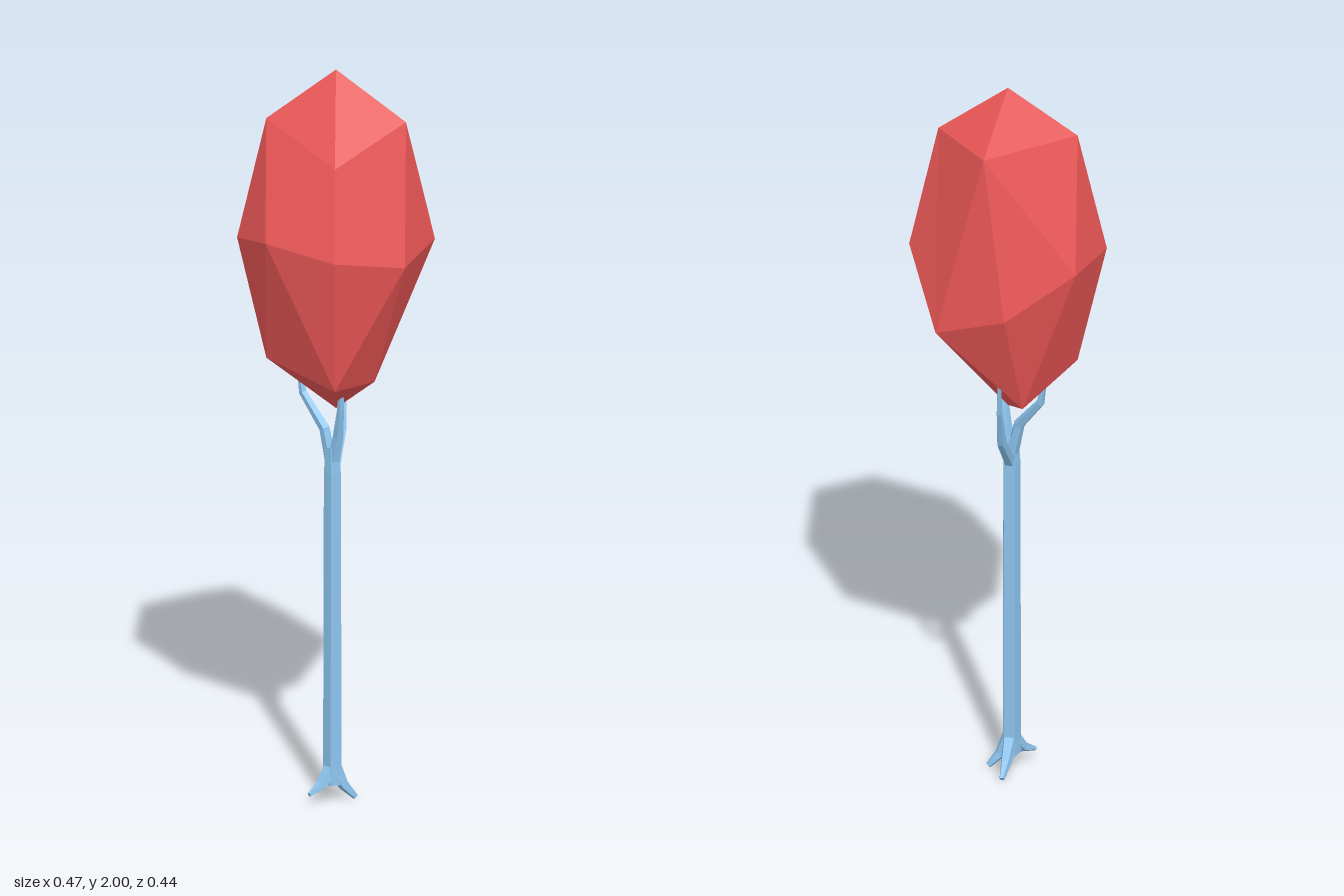
import * as THREE from 'three';

const UP = new THREE.Vector3(0, 1, 0);
const vec = (p) => new THREE.Vector3(p[0], p[1], p[2]);

function makeMesh(name, triangles, material) {
  const geometry = new THREE.BufferGeometry().setFromPoints(triangles);
  geometry.computeVertexNormals();
  const mesh = new THREE.Mesh(geometry, material);
  mesh.name = name;
  return mesh;
}

// Faceted limb: rings of [x, y, z, radius] joined from bottom to top, ends closed
function limb(name, stations, sides, turn, material) {
  const centres = stations.map(vec);
  const rings = stations.map((s, i) => {
    const a = centres[Math.max(i - 1, 0)];
    const b = centres[Math.min(i + 1, centres.length - 1)];
    const q = new THREE.Quaternion().setFromUnitVectors(UP, b.clone().sub(a).normalize());
    return Array.from({ length: sides }, (_, k) => {
      const t = turn + (k / sides) * Math.PI * 2;
      return new THREE.Vector3(Math.sin(t) * s[3], 0, Math.cos(t) * s[3])
        .applyQuaternion(q).add(centres[i]);
    });
  });
  const tris = [];
  const last = rings.length - 1;
  for (let k = 0; k < sides; k++) {
    const n = (k + 1) % sides;
    for (let i = 0; i < last; i++) {
      const [a, b, c, d] = [rings[i][k], rings[i][n], rings[i + 1][n], rings[i + 1][k]];
      tris.push(a, b, c, a, c, d);
    }
    tris.push(centres[0], rings[0][n], rings[0][k]);
    tris.push(centres[last], rings[last][k], rings[last][n]);
  }
  return makeMesh(name, tris, material);
}

// Crown: an irregular, stretched octahedron with every edge split once
function crown(material) {
  const top = vec([0, 2, 0]);
  const bottom = vec([0, 1.07, 0]);
  const upper = [[0.08, 1.775, 0.125], [0.167, 1.865, -0.077],
    [-0.032, 1.862, -0.155], [-0.153, 1.865, 0.097]].map(vec);
  const corner = [[0.112, 1.535, 0.175], [0.216, 1.537, -0.139],
    [-0.114, 1.42, -0.178], [-0.217, 1.537, 0.138]].map(vec);
  const middle = [[0.232, 1.505, 0.025], [0.072, 1.355, -0.224],
    [-0.234, 1.53, -0.027], [-0.073, 1.57, 0.221]].map(vec);
  const lower = [[0.08, 1.165, 0.125], [0.107, 1.157, -0.02],
    [-0.1, 1.12, -0.075], [-0.153, 1.207, 0.097]].map(vec);
  const tris = [];
  for (let i = 0; i < 4; i++) {
    const n = (i + 1) % 4;
    const m = middle[i];
    tris.push(top, upper[i], upper[n]);
    tris.push(upper[i], m, upper[n]);
    tris.push(upper[i], corner[i], m, upper[n], m, corner[n]);
    tris.push(lower[i], m, corner[i], lower[n], corner[n], m);
    tris.push(lower[i], lower[n], m);
    tris.push(bottom, lower[n], lower[i]);
  }
  return makeMesh('crown', tris, material);
}

export function createModel() {
  const leaf = new THREE.MeshStandardMaterial({ color: 0xe85555, flatShading: true });
  const bark = new THREE.MeshStandardMaterial({ color: 0x8cc4ee, flatShading: true });
  const tree = new THREE.Group();
  tree.name = 'tree';
  tree.add(crown(leaf));

  // Five-sided trunk
  tree.add(limb('trunk', [
    [0.002, 0.045, 0.017, 0.027],
    [0.002, 0.09, 0.017, 0.026],
    [0.002, 0.9, 0.017, 0.024],
    [0.002, 0.97, 0.018, 0.018],
  ], 5, 0.35, bark));

  // Three branches reaching into the crown
  const branches = {
    rightBranch: [[0, 0.92, 0.017, 0.018], [-0.025, 1.015, 0.015, 0.015],
      [-0.095, 1.1, 0.012, 0.011], [-0.112, 1.18, 0.008, 0.006]],
    leftBranch: [[0.004, 0.93, 0.018, 0.018], [0.022, 1.0, 0.022, 0.015],
      [0.038, 1.08, 0.035, 0.01], [0.045, 1.15, 0.043, 0.007]],
    backBranch: [[0, 0.9, 0.01, 0.017], [-0.02, 0.99, -0.058, 0.013],
      [-0.042, 1.1, -0.098, 0.008], [-0.05, 1.19, -0.11, 0.005]],
  };
  for (const [name, stations] of Object.entries(branches)) {
    tree.add(limb(name, stations, 5, 0.35, bark));
  }

  // Three roots flaring from the foot of the trunk
  const roots = {
    frontRoot: [[-0.021, 0.03, 0.093, 0.006], [-0.009, 0.048, 0.055, 0.015], [0, 0.09, 0.02, 0.022]],
    backRoot: [[-0.028, 0.01, -0.067, 0.007], [-0.014, 0.04, -0.028, 0.015], [0, 0.09, 0.013, 0.022]],
    leftRoot: [[0.049, 0.007, -0.018, 0.008], [0.026, 0.04, 0.002, 0.015], [0.006, 0.09, 0.015, 0.022]],
  };
  for (const [name, stations] of Object.entries(roots)) {
    tree.add(limb(name, stations, 5, 0.35, bark));
  }
  return tree;
}
